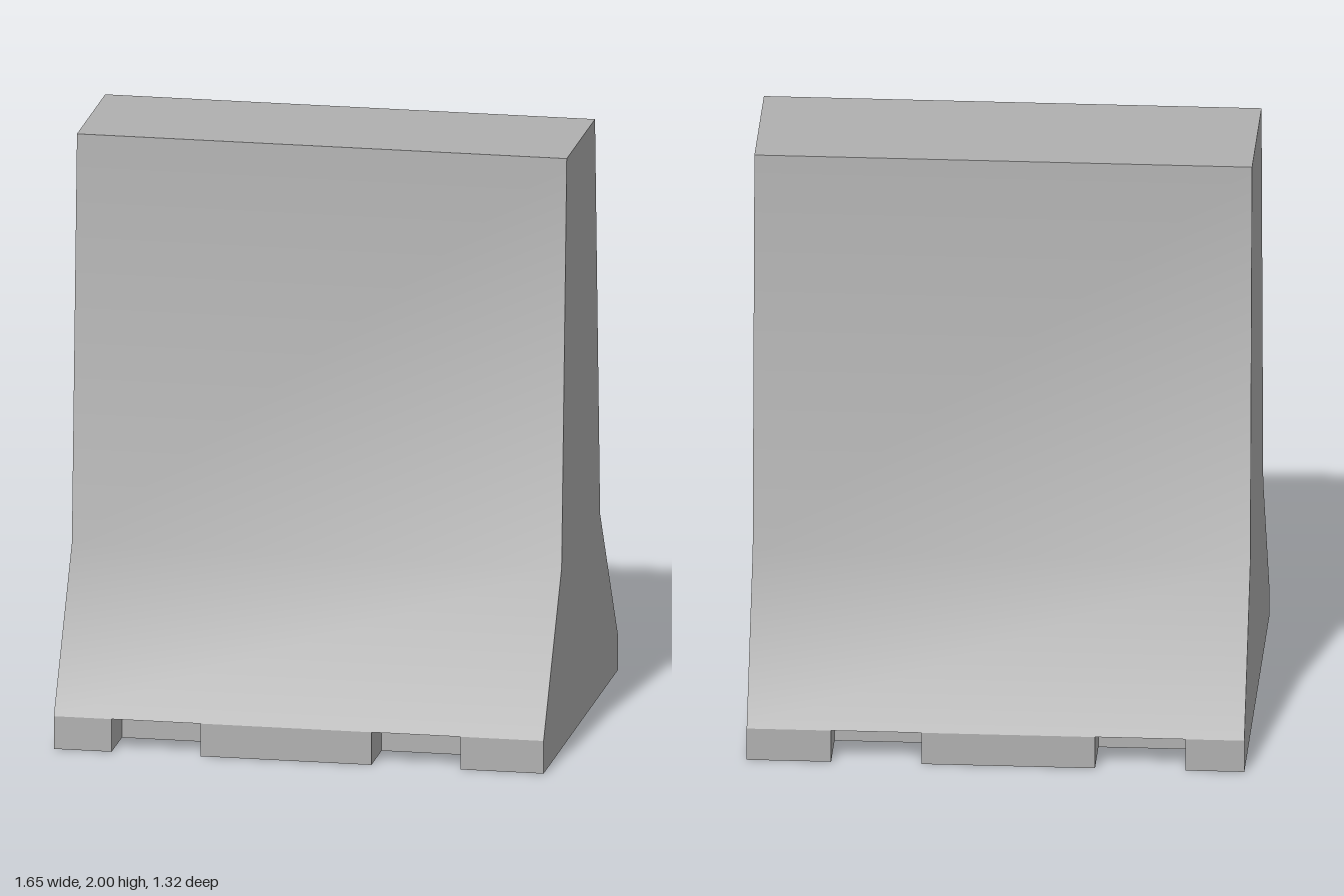
import * as THREE from 'three';
import { toCreasedNormals } from 'three/addons/utils/BufferGeometryUtils.js';

const HALF_W = 0.825;   // half length along x
const HALF_D = 0.66;    // half depth of the foot
const FOOT_H = 0.112;
const NOTCH_D = 0.18;
const NOTCHES = [[-0.63, -0.33], [0.245, 0.545]];

const toShape = (pts) => new THREE.Shape(pts.map(([x, y]) => new THREE.Vector2(x, y)));

export function createModel() {
  const group = new THREE.Group();
  const concrete = new THREE.MeshStandardMaterial({ color: 0xb0b0b0 });
  concrete.name = 'concrete grey';

  // Body: mirrored wall profile, swept along x, softly shaded at the knee
  const side = [[HALF_D, FOOT_H], [0.34, 0.62], [0.25, 2]];
  const mirrored = side.map(([z, y]) => [-z, y]).reverse();
  let bodyGeo = new THREE.ExtrudeGeometry(toShape([...side, ...mirrored]), {
    depth: HALF_W * 2, bevelEnabled: false,
  });
  bodyGeo.translate(0, 0, -HALF_W);
  bodyGeo.rotateY(Math.PI / 2);
  bodyGeo = toCreasedNormals(bodyGeo, THREE.MathUtils.degToRad(30.5));
  const body = new THREE.Mesh(bodyGeo, concrete);
  body.name = 'barrierBody';
  group.add(body);

  // Foot: plan outline with two lifting notches on each long edge
  const inner = HALF_D - NOTCH_D;
  const edge = [[-HALF_W, -HALF_D]];
  for (const [a, b] of NOTCHES) {
    edge.push([a, -HALF_D], [a, -inner], [b, -inner], [b, -HALF_D]);
  }
  edge.push([HALF_W, -HALF_D]);
  const opposite = edge.map(([x, z]) => [x, -z]).reverse();
  const footGeo = new THREE.ExtrudeGeometry(toShape([...edge, ...opposite]), {
    depth: FOOT_H, bevelEnabled: false,
  });
  footGeo.rotateX(-Math.PI / 2);
  const foot = new THREE.Mesh(footGeo, concrete);
  foot.name = 'notchedFoot';
  group.add(foot);

  return group;
}
